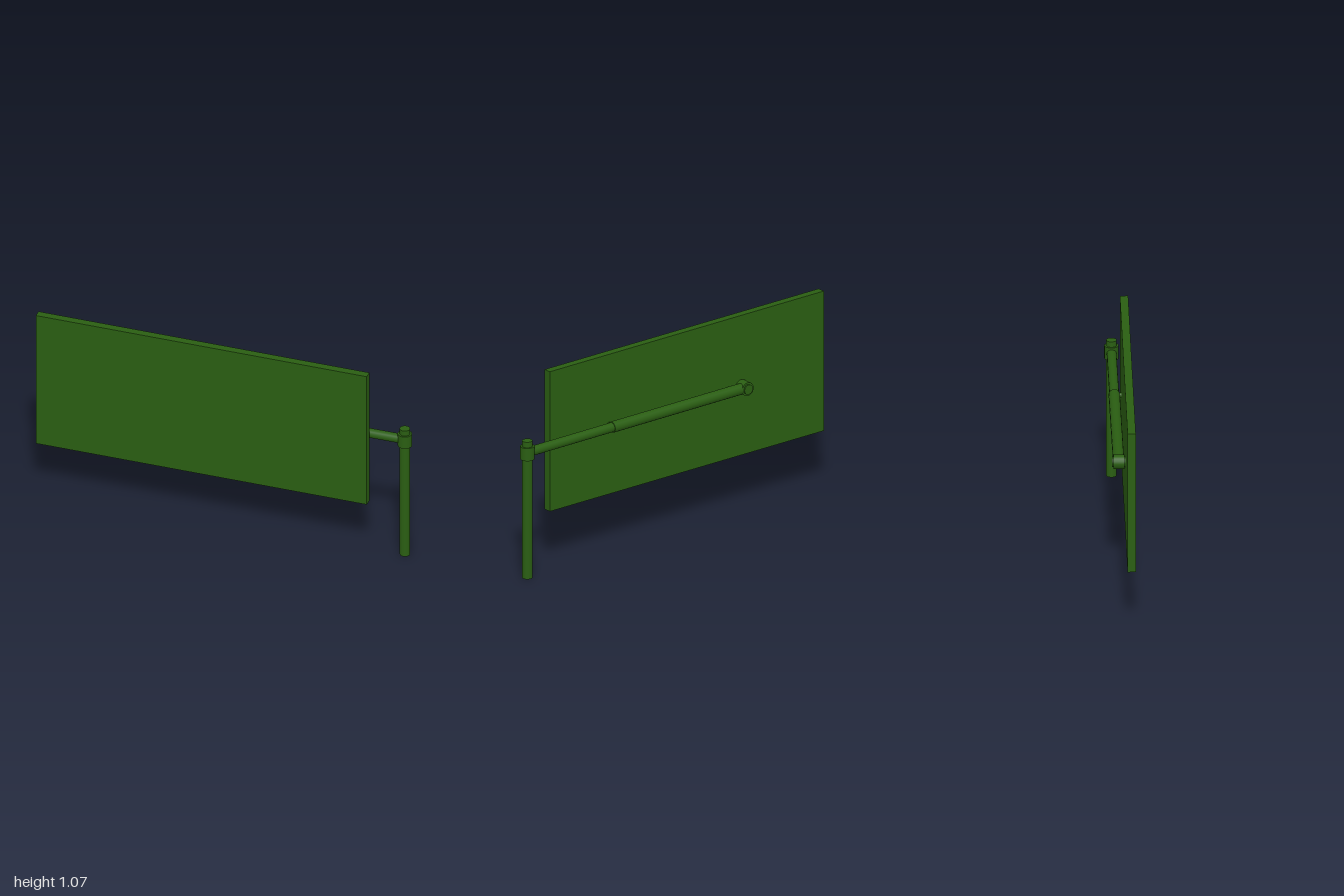
import * as THREE from 'three';

export function createModel() {
  const model = new THREE.Group();
  const green = new THREE.MeshStandardMaterial({ color: 0x2a5e12 });

  // Round bar between two points
  function bar(name, from, to, radius) {
    const a = new THREE.Vector3(...from), b = new THREE.Vector3(...to);
    const dir = b.clone().sub(a);
    const mesh = new THREE.Mesh(new THREE.CylinderGeometry(radius, radius, dir.length(), 16), green);
    mesh.position.copy(a).add(b).multiplyScalar(0.5);
    mesh.quaternion.setFromUnitVectors(new THREE.Vector3(0, 1, 0), dir.normalize());
    mesh.name = name;
    model.add(mesh);
  }

  // Flat panel, turned slightly about the vertical
  const panel = new THREE.Mesh(new THREE.BoxGeometry(1.785, 0.765, 0.042), green);
  panel.name = 'panel';
  panel.position.set(-0.107, 0.6875, 0.041);
  panel.rotation.y = 0.0168;
  model.add(panel);

  // Upright post with its swivel collar
  const px = 0.962, pz = -0.037, armY = 0.685;
  bar('post', [px, 0, pz], [px, 0.75, pz], 0.027);
  bar('postCollar', [px, 0.65, pz], [px, 0.72, pz], 0.037);

  // Telescoping arm behind the panel
  const ex = -0.458, ez = -0.008;
  const at = (x) => [x, armY, pz + (ez - pz) * (px - x) / (px - ex)];
  bar('innerArm', at(px), at(0.3), 0.025);
  bar('outerArm', at(0.41), at(ex), 0.029);

  // Short pin from the sleeve end to the panel
  bar('sleevePin', [0.4, armY, -0.025], [0.4, armY, 0.02], 0.014);

  // Pivot joint at the far end of the arm
  bar('pivotCollar', [ex, armY, -0.034], [ex, armY, 0.021], 0.037);
  bar('pivotPin', [ex, armY, -0.042], [ex, armY, 0.03], 0.027);

  return model;
}
